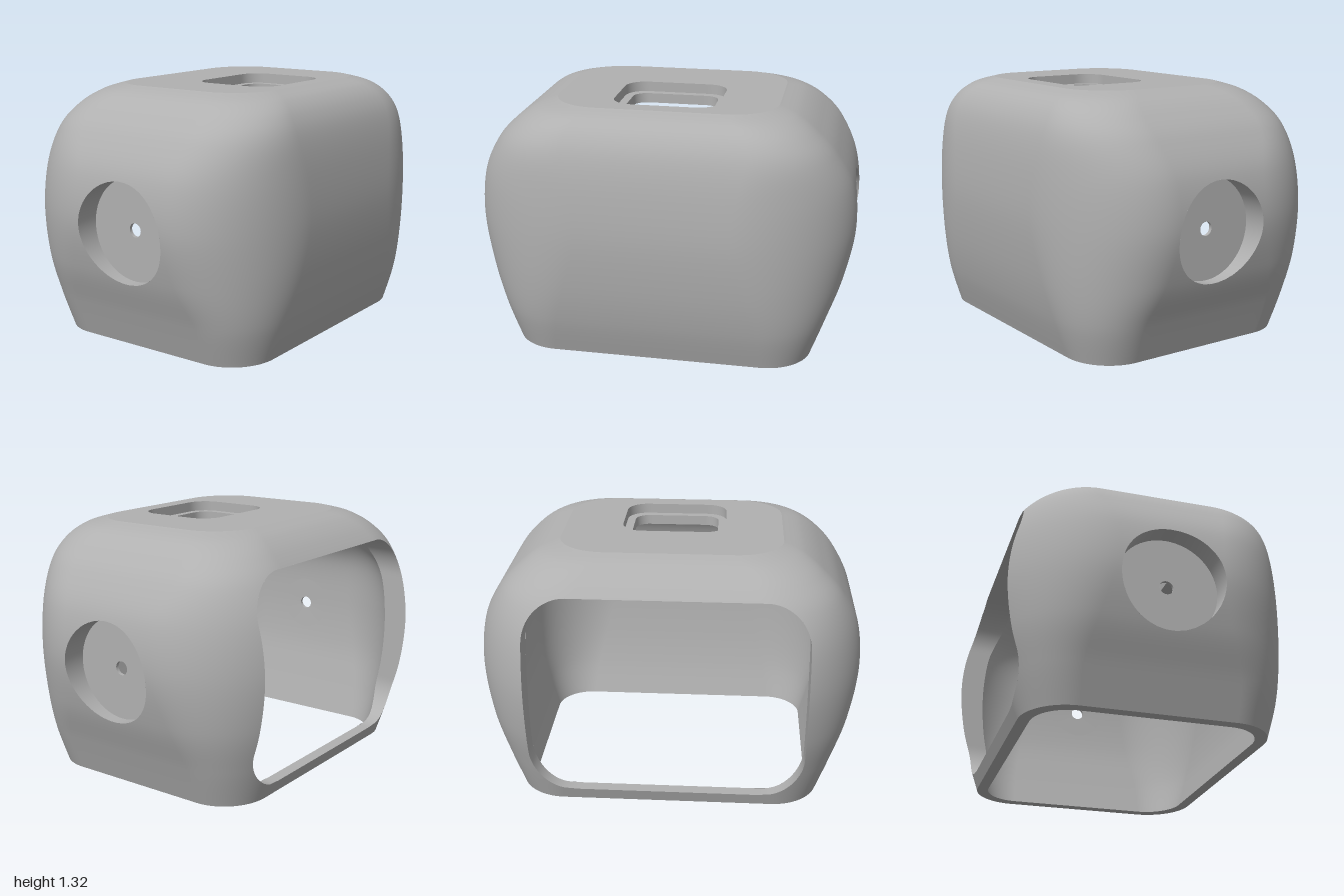
import * as THREE from 'three';

// Horizontal sections: [y, halfWidth, front, back, cornerX, frontCornerZ, backCornerZ]
const OUTER = [
  [0, 0.80, 0.62, 0.64, 0.25, 0.24, 0.24],
  [0.2, 0.87, 0.68, 0.71, 0.35, 0.3, 0.31],
  [0.42, 0.95, 0.72, 0.785, 0.49, 0.41, 0.44],
  [0.68, 1, 0.74, 0.83, 0.6, 0.47, 0.56],
  [0.92, 0.975, 0.728, 0.795, 0.56, 0.45, 0.53],
  [1.1, 0.885, 0.697, 0.705, 0.43, 0.38, 0.38],
  [1.21, 0.785, 0.648, 0.612, 0.34, 0.32, 0.3],
  [1.28, 0.685, 0.575, 0.515, 0.29, 0.28, 0.26],
  [1.315, 0.58, 0.48, 0.42, 0.25, 0.24, 0.23],
];
const INNER = [
  [0, 0.74, 0.56, 0.58, 0.2, 0.19, 0.19],
  [0.2, 0.79, 0.61, 0.64, 0.28, 0.25, 0.26],
  [0.42, 0.835, 0.645, 0.7, 0.38, 0.33, 0.36],
  [0.68, 0.853, 0.665, 0.74, 0.45, 0.38, 0.45],
  [0.92, 0.84, 0.65, 0.7, 0.42, 0.37, 0.42],
  [1.06, 0.77, 0.62, 0.62, 0.35, 0.32, 0.32],
  [1.16, 0.67, 0.56, 0.53, 0.28, 0.27, 0.26],
  [1.21, 0.56, 0.46, 0.43, 0.23, 0.22, 0.22],
];
const SIDE = { y: 0.64, z: 0.01, r: 0.265, hole: 0.036, surround: 0.15, floor: 0.87 };
const OPENING = { y: 0.615, hw: 0.715, hh: 0.545, r: 0.23 };
const WINDOW_Z = 0.152, LEDGE_Y = 1.262;

// Smooth interpolation through the section rows
function rowAt(rows, t) {
  const n = rows.length - 1, i = Math.min(Math.floor(t * n), n - 1), f = t * n - i;
  const at = k => rows[Math.max(0, Math.min(n, k))];
  return rows[0].map((_, c) => {
    const [p, q, r, s] = [at(i - 1)[c], at(i)[c], at(i + 1)[c], at(i + 2)[c]];
    const m0 = (r - p) / 2, m1 = (s - q) / 2, d = q - r;
    return ((2 * d + m0 + m1) * f + (-3 * d - 2 * m0 - m1)) * f * f + m0 * f + q;
  });
}
function sectionAt(rows, y) {
  let lo = 0, hi = 1;
  for (let i = 0; i < 30; i++) {
    const mid = (lo + hi) / 2;
    if (rowAt(rows, mid)[0] < y) lo = mid; else hi = mid;
  }
  return rowAt(rows, lo);
}
const sideX = (rows, y) => sectionAt(rows, y)[1];
function backZ(rows, x, y) {
  const [, a, , zb, rx, , rz] = sectionAt(rows, y);
  const d = Math.min(1, Math.max(0, Math.abs(x) - (a - rx)) / rx);
  return -(zb - rz + rz * Math.sqrt(1 - d * d));
}

// Closed outline of one section, with subdivided corners and sides
function outline([y, a, zf, zb, rx, rf, rb], n = 32, m = 14) {
  const corners = [0, 1, 2, 3].map(q => Array.from({ length: n + 1 }, (_, i) => {
    const ang = (q + i / n) * Math.PI / 2, sx = q === 0 || q === 3 ? 1 : -1;
    const x = sx * (a - rx) + rx * Math.cos(ang);
    const z = q < 2 ? zf - rf + rf * Math.sin(ang) : -(zb - rb) + rb * Math.sin(ang);
    return new THREE.Vector3(x, y, z);
  }));
  return corners.flatMap((c, q) => {
    const next = corners[(q + 1) % 4][0], line = [];
    for (let i = 1; i < m; i++) line.push(c[n].clone().lerp(next, i / m));
    return [...c, ...line];
  });
}

// Surface through closed loops of points
function loft(loops, inward = false) {
  const n = loops[0].length, index = [];
  for (let j = 0; j < loops.length - 1; j++) for (let i = 0; i < n; i++) {
    const a = j * n + i, b = j * n + (i + 1) % n, c = a + n, d = b + n;
    index.push(...(inward ? [a, b, c, b, d, c] : [a, c, b, b, c, d]));
  }
  const g = new THREE.BufferGeometry().setFromPoints(loops.flat());
  g.setIndex(index);
  g.computeVertexNormals();
  return g;
}

// Keep the part of a surface where f(x, y, z) > 0
function clip(geo, f) {
  const src = geo.toNonIndexed(), P = src.attributes.position, N = src.attributes.normal;
  const pos = [], nor = [];
  for (let t = 0; t < P.count; t += 3) {
    const tri = [0, 1, 2].map(k => {
      const p = new THREE.Vector3().fromBufferAttribute(P, t + k);
      return { p, n: new THREE.Vector3().fromBufferAttribute(N, t + k), f: f(p.x, p.y, p.z) };
    });
    const poly = [];
    tri.forEach((v, k) => {
      const w = tri[(k + 1) % 3];
      if (v.f > 0) poly.push(v);
      if ((v.f > 0) !== (w.f > 0)) {
        const s = v.f / (v.f - w.f);
        poly.push({ p: v.p.clone().lerp(w.p, s), n: v.n.clone().lerp(w.n, s).normalize() });
      }
    });
    for (let k = 1; k < poly.length - 1; k++) for (const v of [poly[0], poly[k], poly[k + 1]]) {
      pos.push(v.p.x, v.p.y, v.p.z);
      nor.push(v.n.x, v.n.y, v.n.z);
    }
  }
  const g = new THREE.BufferGeometry();
  g.setAttribute('position', new THREE.Float32BufferAttribute(pos, 3));
  g.setAttribute('normal', new THREE.Float32BufferAttribute(nor, 3));
  return g;
}

function roundRect(cx, cy, hw, hh, r, count) {
  const s = new THREE.Shape(), q = Math.PI / 2;
  s.absarc(cx + hw - r, cy + hh - r, r, 0, q);
  s.absarc(cx - hw + r, cy + hh - r, r, q, 2 * q);
  s.absarc(cx - hw + r, cy - hh + r, r, 2 * q, 3 * q);
  s.absarc(cx + hw - r, cy - hh + r, r, 3 * q, 4 * q);
  s.closePath();
  return s.getSpacedPoints(count).slice(0, -1);
}
const circle = (cx, cy, r) => new THREE.EllipseCurve(cx, cy, r, r).getPoints(72).slice(0, -1);
function plate(points, hole) {
  const s = new THREE.Shape(points);
  s.holes.push(new THREE.Path(hole));
  return new THREE.ShapeGeometry(s);
}

export function createModel() {
  const group = new THREE.Group();
  const grey = new THREE.MeshStandardMaterial({ color: 0xb0b0b0, side: THREE.DoubleSide });
  grey.name = 'plain grey';
  const add = (name, geo) => {
    const mesh = new THREE.Mesh(geo, grey);
    mesh.name = name;
    group.add(mesh);
  };

  // Curved outer and inner walls, cut by the back opening and side holes
  const opening = (x, y, z) => {
    if (z > 0) return 1;
    const { hw, hh, r } = OPENING;
    const dx = Math.abs(x) - hw + r, dy = Math.abs(y - OPENING.y) - hh + r;
    return Math.hypot(Math.max(dx, 0), Math.max(dy, 0)) + Math.min(Math.max(dx, dy), 0) - r;
  };
  const wall = (rows, radius, inward) => {
    const loops = Array.from({ length: 81 }, (_, j) => outline(rowAt(rows, j / 80)));
    return clip(loft(loops, inward), (x, y, z) => Math.min(opening(x, y, z),
      Math.abs(x) > 0.5 ? Math.hypot(y - SIDE.y, z - SIDE.z) - radius : 1));
  };
  add('outerShell', wall(OUTER, SIDE.r, false));
  add('innerShell', wall(INNER, SIDE.surround, true));

  // Bottom rim and back opening rim
  add('bottomRim', loft([outline(OUTER[0]), outline(INNER[0])]));
  const edge = roundRect(0, OPENING.y, OPENING.hw, OPENING.hh, OPENING.r, 240);
  add('backOpeningRim', loft([OUTER, INNER].map(rows =>
    edge.map(p => new THREE.Vector3(p.x, p.y, backZ(rows, p.x, p.y))))));

  // Roof with a stepped window
  const big = roundRect(0, WINDOW_Z, 0.276, 0.233, 0.11, 120);
  const small = roundRect(0, WINDOW_Z, 0.232, 0.19, 0.075, 120);
  const level = (pts, hole, y) => {
    const flip = list => list.map(p => new THREE.Vector2(p.x, -p.y));
    return plate(flip(pts), flip(hole)).rotateX(-Math.PI / 2).translate(0, y, 0);
  };
  const flat = row => outline(row).map(p => new THREE.Vector2(p.x, p.z));
  const lift = (pts, y) => pts.map(p => new THREE.Vector3(p.x, y, p.y));
  const topY = OUTER.at(-1)[0], ceilingY = INNER.at(-1)[0];
  add('roof', level(flat(OUTER.at(-1)), big, topY));
  add('windowLedge', level(big, small, LEDGE_Y));
  add('ceiling', level(flat(INNER.at(-1)), small, ceilingY));
  add('windowUpperWall', loft([lift(big, LEDGE_Y), lift(big, topY)], true));
  add('windowLowerWall', loft([lift(small, ceilingY), lift(small, LEDGE_Y)], true));

  // Round recess with a small through hole on each side
  for (const s of [1, -1]) {
    const side = s > 0 ? 'left' : 'right';
    const disc = r => circle(-s * SIDE.z, SIDE.y, r);
    const rim = disc(SIDE.r), hole = disc(SIDE.hole);
    add(side + 'RecessFloor', plate(rim, hole).rotateY(s * Math.PI / 2).translate(s * SIDE.floor, 0, 0));
    const ring = (pts, x) => pts.map(p => new THREE.Vector3(s * x(p.y), p.y, -s * p.x));
    const floor = () => SIDE.floor, inner = y => sideX(INNER, y);
    add(side + 'RecessWall', loft([ring(rim, y => sideX(OUTER, y)), ring(rim, floor)]));
    add(side + 'HoleWall', loft([ring(hole, floor), ring(hole, inner)]));
    add(side + 'HoleSurround', loft([ring(hole, inner), ring(disc(SIDE.surround), inner)]));
  }
  return group;
}
